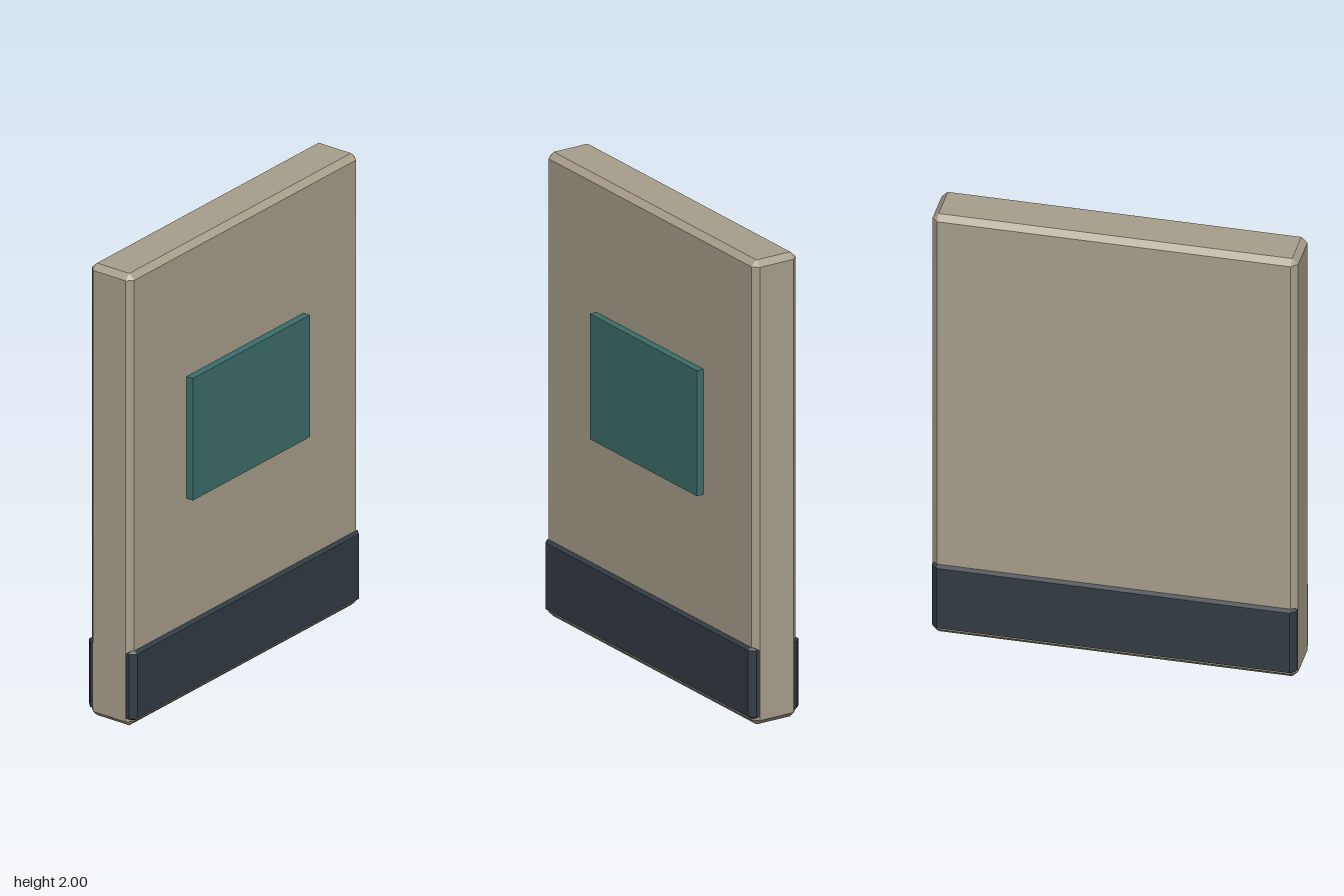
import * as THREE from 'three';
import { ConvexGeometry } from 'three/addons/geometries/ConvexGeometry.js';

// Box with flat chamfers on all edges: half sizes h, chamfer insets c per axis
function chamferBox(h, c) {
  const points = [];
  for (const sx of [-1, 1]) for (const sy of [-1, 1]) for (const sz of [-1, 1]) {
    const s = [sx, sy, sz];
    for (let axis = 0; axis < 3; axis++) {
      const p = h.map((v, i) => s[i] * (i === axis ? v : v - c[i]));
      points.push(new THREE.Vector3(...p));
    }
  }
  return new ConvexGeometry(points);
}

export function createModel() {
  const group = new THREE.Group();
  const add = (name, geometry, color, x, y, z) => {
    const material = new THREE.MeshStandardMaterial({ color, flatShading: true });
    const mesh = new THREE.Mesh(geometry, material);
    mesh.name = name;
    mesh.position.set(x, y, z);
    group.add(mesh);
  };

  // Upright slab
  add('slab', chamferBox([0.755, 1, 0.107], [0.025, 0.024, 0.025]), 0xa89f8c, 0, 1, -0.008);

  // Dark band around the foot, a hair narrower so its ends stay inside the slab
  add('footBand', chamferBox([0.754, 0.159, 0.123], [0.025, 0.016, 0.025]), 0x333b43, 0, 0.183, -0.008);

  // Raised panel on the front
  add('frontPanel', new THREE.BoxGeometry(0.77, 0.54, 0.05), 0x3c6e6a, 0, 1.155, 0.106);

  return group;
}
